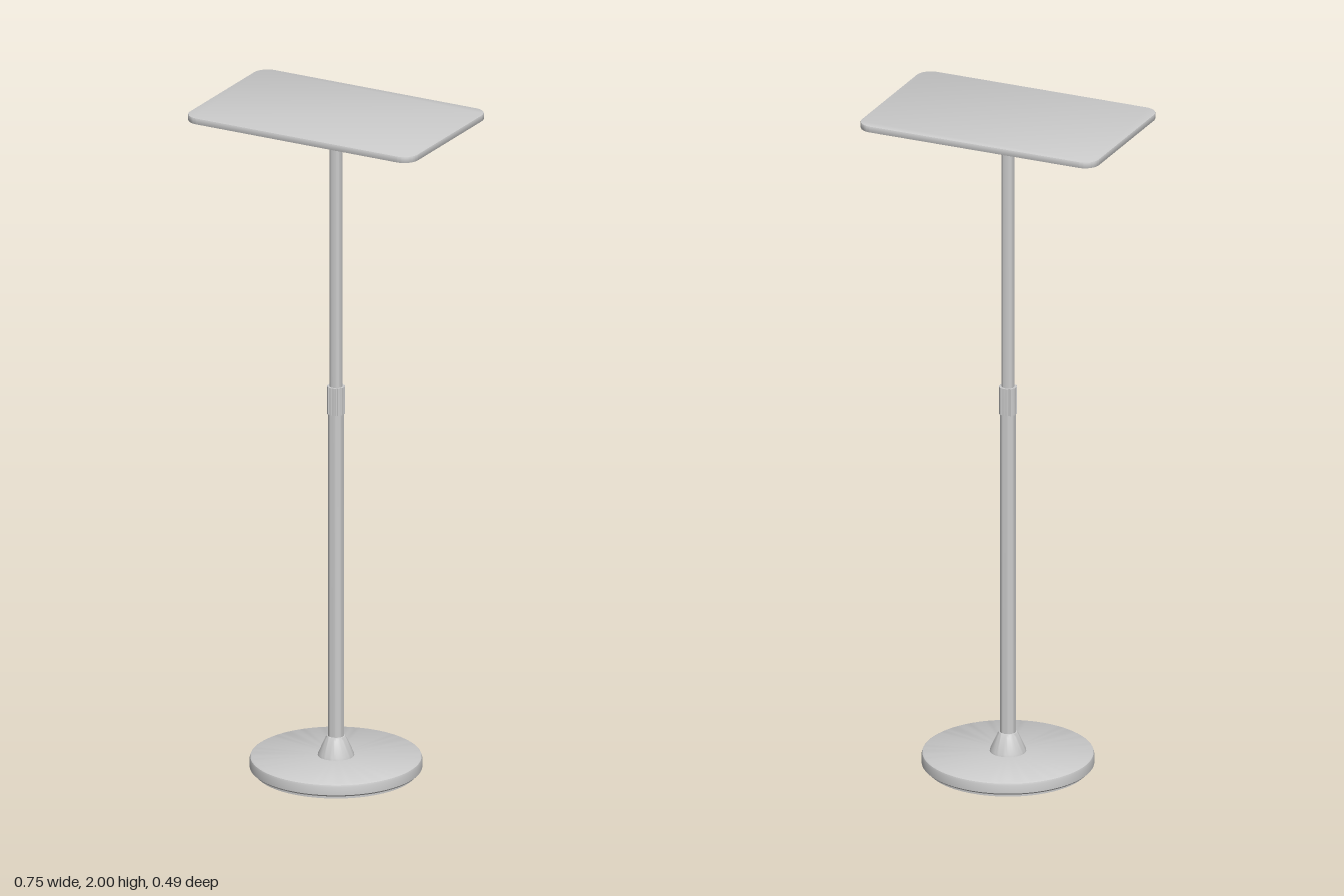
import * as THREE from 'three';
import { toCreasedNormals } from 'three/addons/utils/BufferGeometryUtils.js';

const material = new THREE.MeshStandardMaterial({ color: 0xcccccc });

function part(name, geometry, y = 0) {
  const mesh = new THREE.Mesh(toCreasedNormals(geometry, 0.6), material);
  mesh.name = name;
  mesh.position.y = y;
  return mesh;
}

// Turned part from [radius, height] pairs, listed bottom to top
function turned(name, profile, segments = 64) {
  const points = profile.map(([r, y]) => new THREE.Vector2(r, y));
  return part(name, new THREE.LatheGeometry(points, segments));
}

// Flat outline extruded upwards from height y
function slab(name, shape, height, bevel, y) {
  const geometry = new THREE.ExtrudeGeometry(shape, {
    depth: height - 2 * bevel, bevelEnabled: bevel > 0, bevelSize: bevel,
    bevelThickness: bevel, bevelOffset: -bevel, bevelSegments: 2, curveSegments: 12,
  });
  geometry.rotateX(-Math.PI / 2);
  return part(name, geometry, y + bevel);
}

function roundedRectangle(w, d, r) {
  const s = new THREE.Shape();
  s.absarc(w - r, d - r, r, 0, Math.PI / 2);
  s.absarc(-w + r, d - r, r, Math.PI / 2, Math.PI);
  s.absarc(-w + r, -d + r, r, Math.PI, Math.PI * 1.5);
  s.absarc(w - r, -d + r, r, Math.PI * 1.5, Math.PI * 2);
  s.closePath();
  return s;
}

// Circle with evenly spaced grooves for the grip collar
function ribbedCircle(outer, inner, ribs) {
  const points = [];
  for (let i = 0; i < ribs; i++) {
    for (const [t, r] of [[0, inner], [0.2, inner], [0.3, outer], [0.6, outer], [0.9, outer]]) {
      const a = ((i + t) / ribs) * Math.PI * 2;
      points.push(new THREE.Vector2(Math.cos(a) * r, Math.sin(a) * r));
    }
  }
  return new THREE.Shape(points);
}

export function createModel() {
  const group = new THREE.Group();
  group.name = 'pedestalTable';

  // Round base on a slightly smaller foot pad
  group.add(turned('footPad', [[0, 0], [0.232, 0], [0.232, 0.012], [0, 0.012]], 96));
  group.add(turned('base', [
    [0, 0.01], [0.242, 0.01], [0.247, 0.015], [0.247, 0.039],
    [0.245, 0.045], [0.24, 0.048], [0, 0.05],
  ], 96));
  group.add(turned('baseCone', [
    [0, 0.046], [0.053, 0.046], [0.051, 0.056], [0.031, 0.1], [0.026, 0.108], [0.02, 0.11], [0, 0.11],
  ], 48));

  // Telescoping column with a grip collar at the joint
  group.add(turned('lowerPole', [[0, 0.05], [0.023, 0.05], [0.023, 1.1], [0, 1.1]], 40));
  group.add(slab('collar', ribbedCircle(0.026, 0.0235, 12), 0.083, 0, 1.088));
  group.add(turned('upperPole', [[0, 1.09], [0.0185, 1.09], [0.0185, 1.98], [0, 1.98]], 40));

  // Table top carried by a mounting disc
  group.add(turned('mountingDisc', [[0, 1.974], [0.084, 1.974], [0.087, 1.977], [0.087, 1.985], [0, 1.985]]));
  group.add(slab('tableTop', roundedRectangle(0.373, 0.233, 0.045), 0.019, 0.002, 1.981));

  return group;
}
